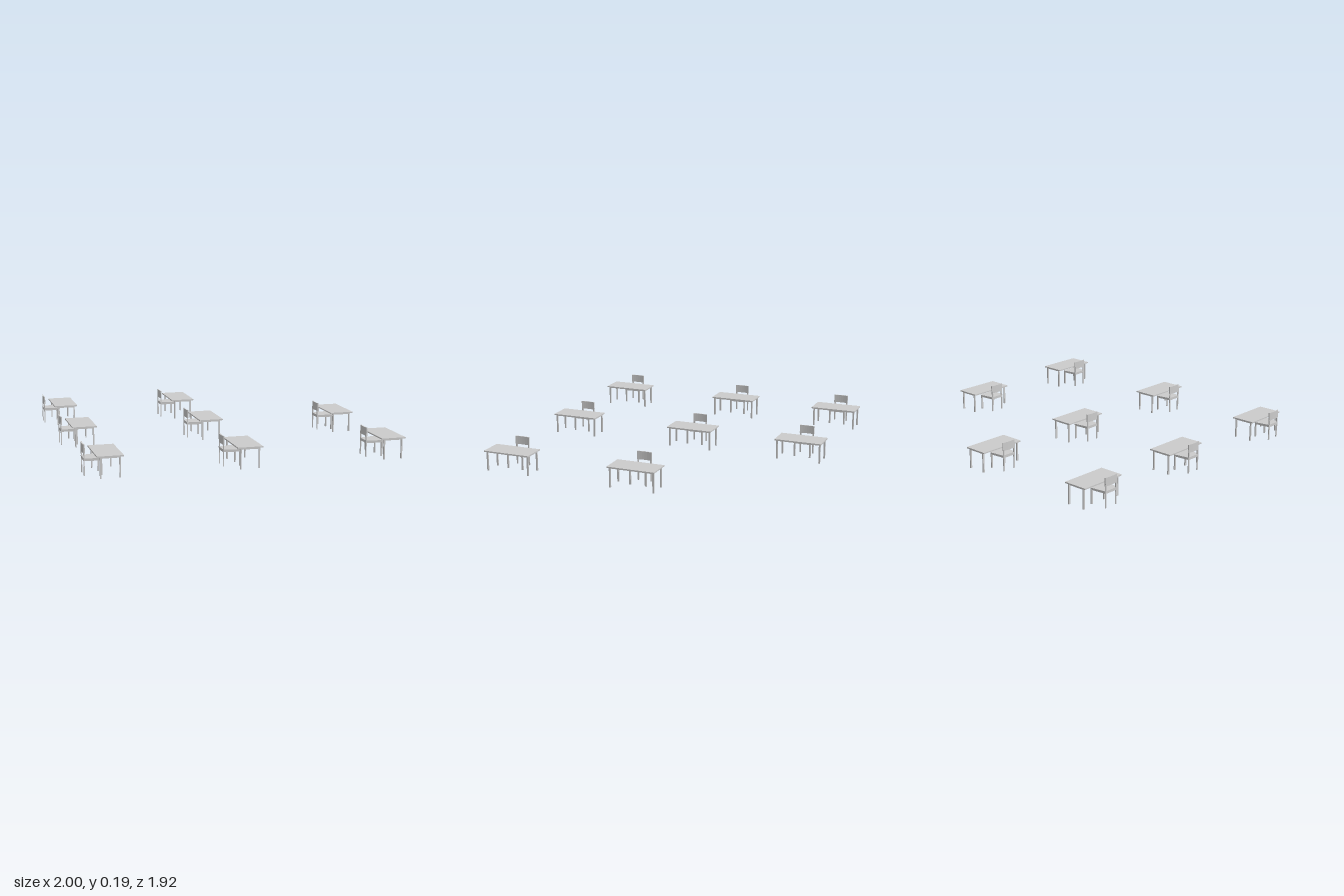
import * as THREE from 'three';

const grey = new THREE.MeshStandardMaterial({ color: 0xcccccc, flatShading: true });

// Box from its size and the position of its centre
function box(parent, name, w, h, d, x, y, z) {
  const mesh = new THREE.Mesh(new THREE.BoxGeometry(w, h, d), grey);
  mesh.name = name;
  mesh.position.set(x, y, z);
  parent.add(mesh);
  return mesh;
}

// Desk: long in z, centred on its own origin
function makeDesk() {
  const desk = new THREE.Group();
  desk.name = 'desk';
  box(desk, 'deskTop', 0.158, 0.008, 0.312, 0, 0.132, 0);
  for (const s of [-1, 1]) {
    box(desk, 'longRail', 0.006, 0.008, 0.286, s * 0.058, 0.124, 0);
    box(desk, 'shortRail', 0.116, 0.008, 0.006, 0, 0.124, s * 0.143);
    for (const t of [-1, 1]) box(desk, 'deskLeg', 0.008, 0.128, 0.011, s * 0.058, 0.064, t * 0.143);
  }
  return desk;
}

// Chair: back edge at x = 0, facing +x
function makeChair() {
  const chair = new THREE.Group();
  chair.name = 'chair';

  // Seat plate, wider towards the front
  const outline = new THREE.Shape([
    [0.003, -0.05], [0.106, -0.065], [0.114, -0.056], [0.114, 0.056], [0.106, 0.065], [0.003, 0.05],
  ].map(([x, z]) => new THREE.Vector2(x, z)));
  const seatGeometry = new THREE.ExtrudeGeometry(outline, { depth: 0.008, bevelEnabled: false });
  seatGeometry.rotateX(-Math.PI / 2);
  const seat = new THREE.Mesh(seatGeometry, grey);
  seat.name = 'seat';
  seat.position.y = 0.097;
  chair.add(seat);

  // Backrest, its middle slightly set back
  const back = new THREE.BoxGeometry(0.007, 0.053, 0.098, 1, 1, 6);
  const p = back.attributes.position;
  for (let i = 0; i < p.count; i++) {
    p.setX(i, p.getX(i) + 0.004 * (p.getZ(i) / 0.049) ** 2);
  }
  back.computeVertexNormals();
  const backrest = new THREE.Mesh(back, grey);
  backrest.name = 'backrest';
  backrest.position.set(0.0035, 0.1605, 0);
  chair.add(backrest);

  // Legs, posts and the rails under the seat
  for (const s of [-1, 1]) {
    box(chair, 'backPost', 0.006, 0.15, 0.009, 0.006, 0.075, s * 0.043);
    box(chair, 'frontLeg', 0.008, 0.097, 0.011, 0.107, 0.0485, s * 0.052);
    const rail = box(chair, 'sideRail', 0.102, 0.009, 0.006, 0.056, 0.0925, s * 0.0475);
    rail.rotation.y = -s * 0.088;
  }
  box(chair, 'backRail', 0.006, 0.009, 0.086, 0.006, 0.0925, 0);
  box(chair, 'frontRail', 0.006, 0.009, 0.104, 0.107, 0.0925, 0);
  return chair;
}

export function createModel() {
  const model = new THREE.Group();
  model.name = 'classroom';
  const columns = [-0.858, -0.008, 0.92];
  const rows = [-0.805, -0.049, 0.803];
  columns.forEach((x, c) => rows.forEach((z, r) => {
    if (c === 2 && r === 0) return; // this corner stays empty
    const place = new THREE.Group();
    place.name = 'workplace';
    const chair = makeChair();
    chair.position.x = -0.142;
    place.add(makeDesk(), chair);
    place.position.set(x, 0, z);
    model.add(place);
  }));
  return model;
}
